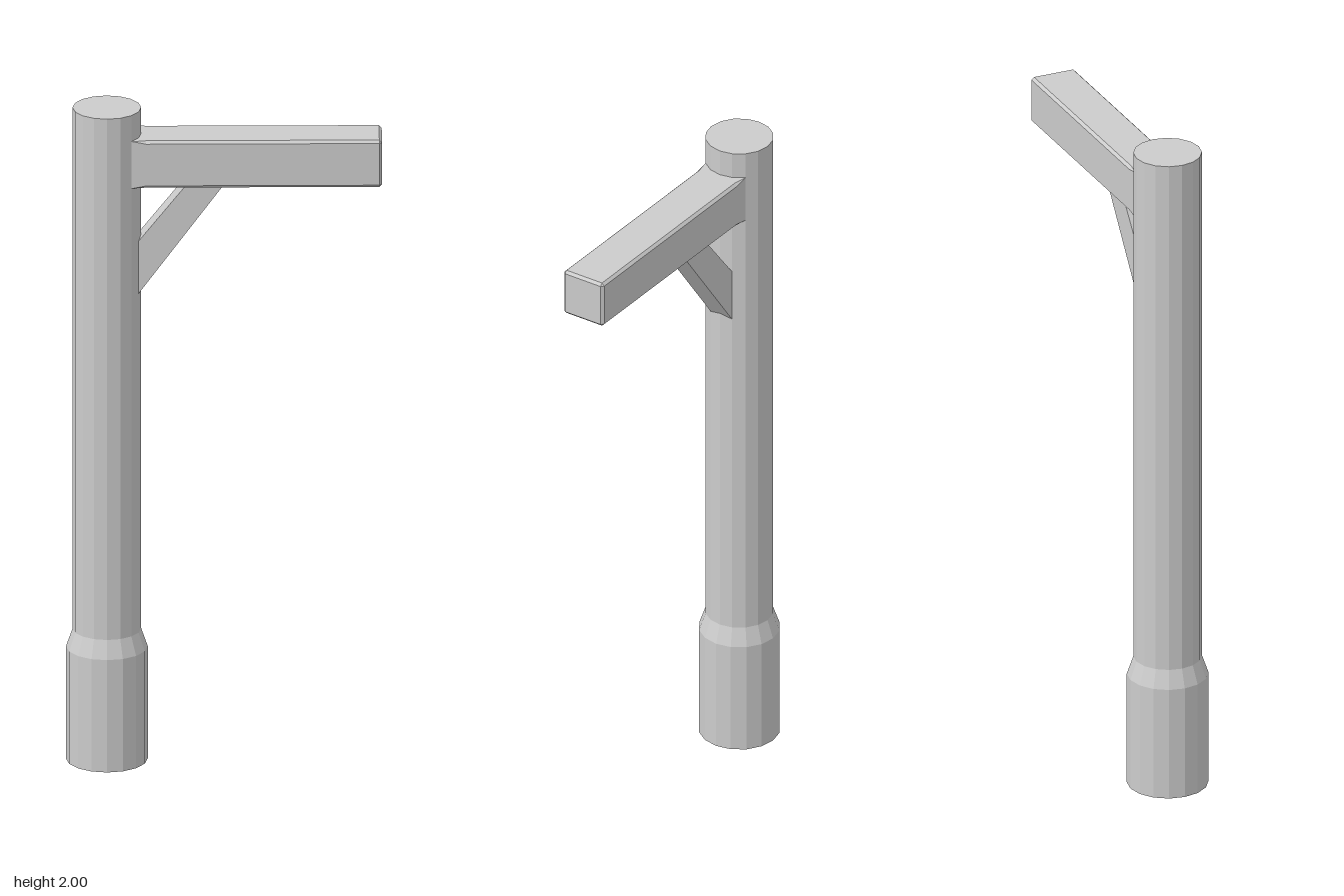
import * as THREE from 'three';

const material = new THREE.MeshStandardMaterial({ color: 0xcccccc, flatShading: true });
const POST_X = -0.338;

// Joins rings of equal point count into a closed solid; rings run along +x
function loft(rings) {
  const n = rings[0].length;
  const index = [];
  for (let r = 0; r < rings.length - 1; r++) {
    for (let i = 0; i < n; i++) {
      const a = r * n + i, b = r * n + (i + 1) % n;
      index.push(a, b, b + n, a, b + n, a + n);
    }
  }
  const last = (rings.length - 1) * n;
  for (let i = 1; i < n - 1; i++) {
    index.push(0, i + 1, i, last, last + i, last + i + 1);
  }
  const geometry = new THREE.BufferGeometry();
  geometry.setAttribute('position', new THREE.Float32BufferAttribute(rings.flat(2), 3));
  geometry.setIndex(index);
  const flat = geometry.toNonIndexed();
  flat.computeVertexNormals();
  return flat;
}

// Rectangular beam section at x with corners cut by c, counter-clockwise seen from +x
function beamSection(x, c, inset = 0) {
  const y0 = 1.848, h = 0.072 - inset, w = 0.07 - inset;
  return [
    [w, -h + c], [w, h - c], [w - c, h], [-w + c, h],
    [-w, h - c], [-w, -h + c], [-w + c, -h], [w - c, -h],
  ].map(([z, y]) => [x, y0 + y, z]).reverse();
}

export function createModel() {
  const model = new THREE.Group();
  const add = (name, geometry) => {
    const mesh = new THREE.Mesh(geometry, material);
    mesh.name = name;
    model.add(mesh);
    return mesh;
  };

  // Sixteen-sided post with a thicker foot
  const profile = [[0, 0], [0.118, 0], [0.118, 0.345], [0.099, 0.4], [0.099, 2], [0, 2]]
    .map(([r, y]) => new THREE.Vector2(r, y));
  add('post', new THREE.LatheGeometry(profile, 16)).position.x = POST_X;

  // Beam: square at the post, chamfered along its length and at the free end
  const c = 0.008;
  add('beam', loft([
    beamSection(POST_X, 0),
    beamSection(-0.265, 0),
    beamSection(-0.225, c),
    beamSection(0.447, c),
    beamSection(0.455, 0, c),
  ]));

  // Diagonal brace under the beam
  const outline = new THREE.Shape([[-0.255, 1.43], [0.003, 1.78], [-0.105, 1.78], [-0.255, 1.592]]
    .map(([x, y]) => new THREE.Vector2(x, y)));
  const brace = new THREE.ExtrudeGeometry(outline, { depth: 0.074, bevelEnabled: false });
  brace.translate(0, 0, -0.037);
  add('brace', brace);

  return model;
}
